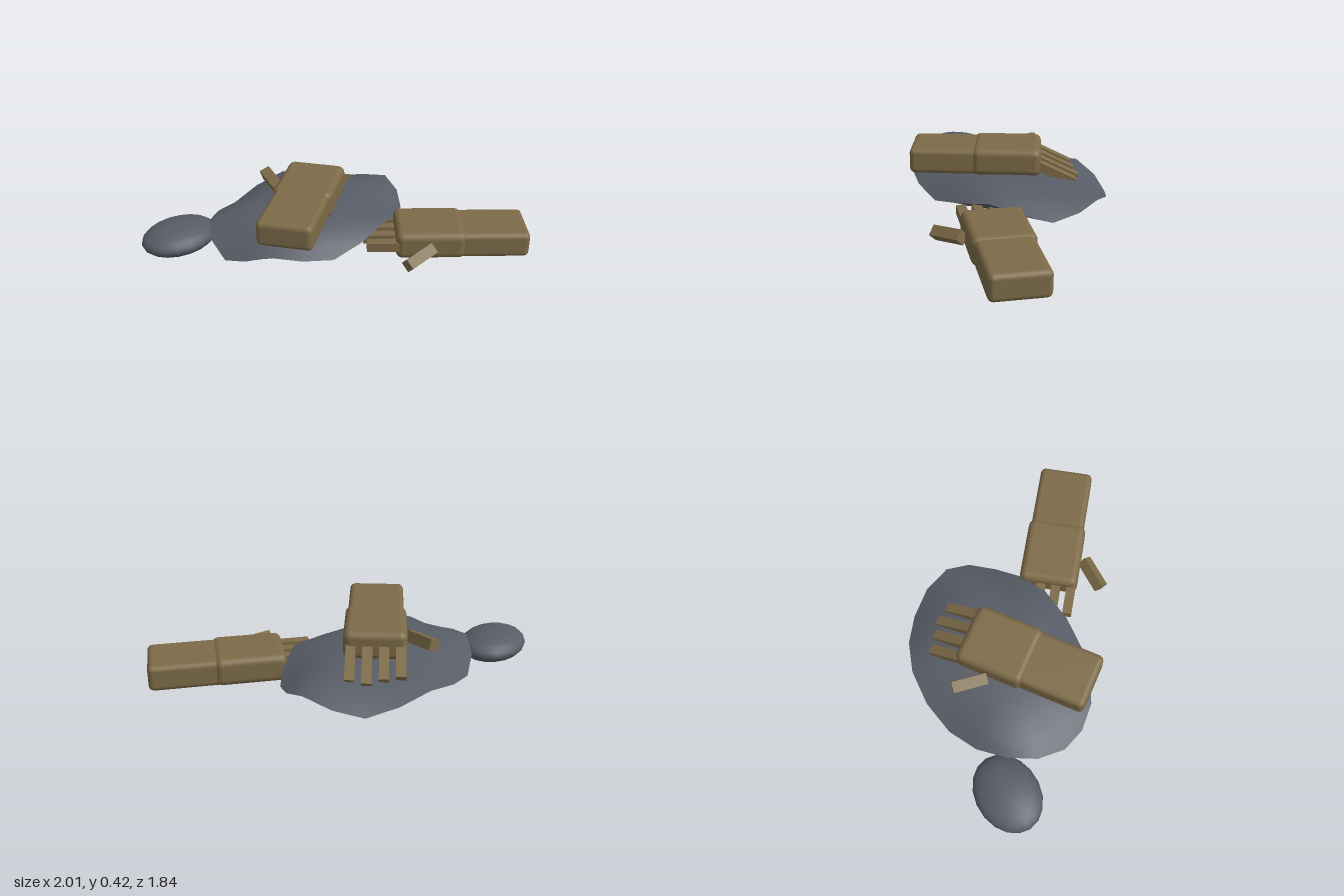
import * as THREE from 'three';
import { RoundedBoxGeometry } from 'three/addons/geometries/RoundedBoxGeometry.js';

const leather = new THREE.MeshStandardMaterial({ color: 0x7d6b48 });
leather.name = 'brown leather';
const rock = new THREE.MeshStandardMaterial({ color: 0x585c66 });
rock.name = 'grey stone';

function add(parent, name, geometry, material, x = 0, y = 0, z = 0) {
  const mesh = new THREE.Mesh(geometry, material);
  mesh.name = name;
  mesh.position.set(x, y, z);
  parent.add(mesh);
  return mesh;
}

// Half of the flat stone: a shallow cap hung from a rim that zigzags up and down
function stoneHalf(poleY, bulge) {
  const sides = 20, rings = 6, midY = 0.142;
  const positions = [0, poleY, 0], index = [];
  for (let r = 1; r <= rings; r++) {
    const t = r / rings;
    for (let s = 0; s < sides; s++) {
      const a = (s / sides) * Math.PI * 2;
      // five peaks and five valleys around the rim, fading out inwards
      const wave = 0.045 * [1, 0, -1, 0][s % 4] * t ** 4;
      const y = midY + (poleY - midY) * (1 - t ** bulge) + wave;
      // the back is a little longer than the front
      const depth = Math.sin(a) > 0 ? 0.485 : 0.575;
      positions.push(0.71 * t * Math.cos(a), y, depth * t * Math.sin(a));
    }
  }
  const at = (r, s) => 1 + (r - 1) * sides + (s % sides);
  const up = poleY > midY;
  const tri = (a, b, c) => (up ? index.push(a, b, c) : index.push(a, c, b));
  for (let s = 0; s < sides; s++) {
    tri(0, at(1, s + 1), at(1, s));
    for (let r = 1; r < rings; r++) {
      tri(at(r, s), at(r, s + 1), at(r + 1, s));
      tri(at(r, s + 1), at(r + 1, s + 1), at(r + 1, s));
    }
  }
  const geometry = new THREE.BufferGeometry();
  geometry.setAttribute('position', new THREE.Float32BufferAttribute(positions, 3));
  geometry.setIndex(index);
  geometry.computeVertexNormals();
  return geometry;
}

// Glove along local +x: origin at the seam between cuff and palm, resting on y = 0
function makeGlove(name, curl, thumbRoll, thumbTilt) {
  const glove = new THREE.Group();
  glove.name = name;
  // the cuff runs on into the palm
  add(glove, 'cuff', new RoundedBoxGeometry(0.475, 0.168, 0.355, 3, 0.035), leather, -0.1775, 0.085, 0);
  add(glove, 'palm', new RoundedBoxGeometry(0.445, 0.18, 0.385, 3, 0.045), leather, 0.2125, 0.09, 0);

  // Four straight fingers, hinged inside the palm
  const tips = [0.62, 0.64, 0.67, 0.65];
  tips.forEach((tip, i) => {
    const length = (tip - 0.38) / Math.cos(curl);
    const geometry = new THREE.BoxGeometry(length, 0.06, 0.06);
    geometry.translate(length / 2, 0, 0);
    const finger = add(glove, 'finger' + (i + 1), geometry, leather, 0.38, 0.09, -0.155 + i * 0.1);
    finger.rotation.z = -curl;
  });

  // Thumb, set apart from the side of the palm
  const thumb = add(glove, 'thumb', new THREE.BoxGeometry(0.22, 0.07, 0.07), leather, 0.295, 0.078, -0.282);
  thumb.rotation.set(thumbRoll, 0.7, thumbTilt, 'YZX');
  return glove;
}

export function createModel() {
  const model = new THREE.Group();
  model.name = 'glovesOnStones';

  // Large flat stone with a crease at the rim
  const stone = new THREE.Group();
  stone.name = 'largeStone';
  stone.position.z = -0.275;
  add(stone, 'stoneTop', stoneHalf(0.257, 3), rock);
  add(stone, 'stoneUnderside', stoneHalf(0.01, 2.2), rock);
  model.add(stone);

  // Small pebble
  const pebble = add(model, 'pebble', new THREE.SphereGeometry(1, 18, 12), rock, -0.745, 0.095, -0.72);
  pebble.scale.set(0.257, 0.092, 0.2);

  // Glove lying on the stone, fingers drooping
  const upper = makeGlove('upperGlove', 0.44, -0.35, 0.08);
  upper.position.set(-0.168, 0.241, -0.17);
  upper.rotation.y = 0.59;
  model.add(upper);

  // Glove lying on the ground, fingers flat
  const lower = makeGlove('lowerGlove', 0, 0.8, -0.15);
  lower.position.set(0.592, 0.026, 0.53);
  lower.rotation.y = 2.404;
  model.add(lower);

  return model;
}
